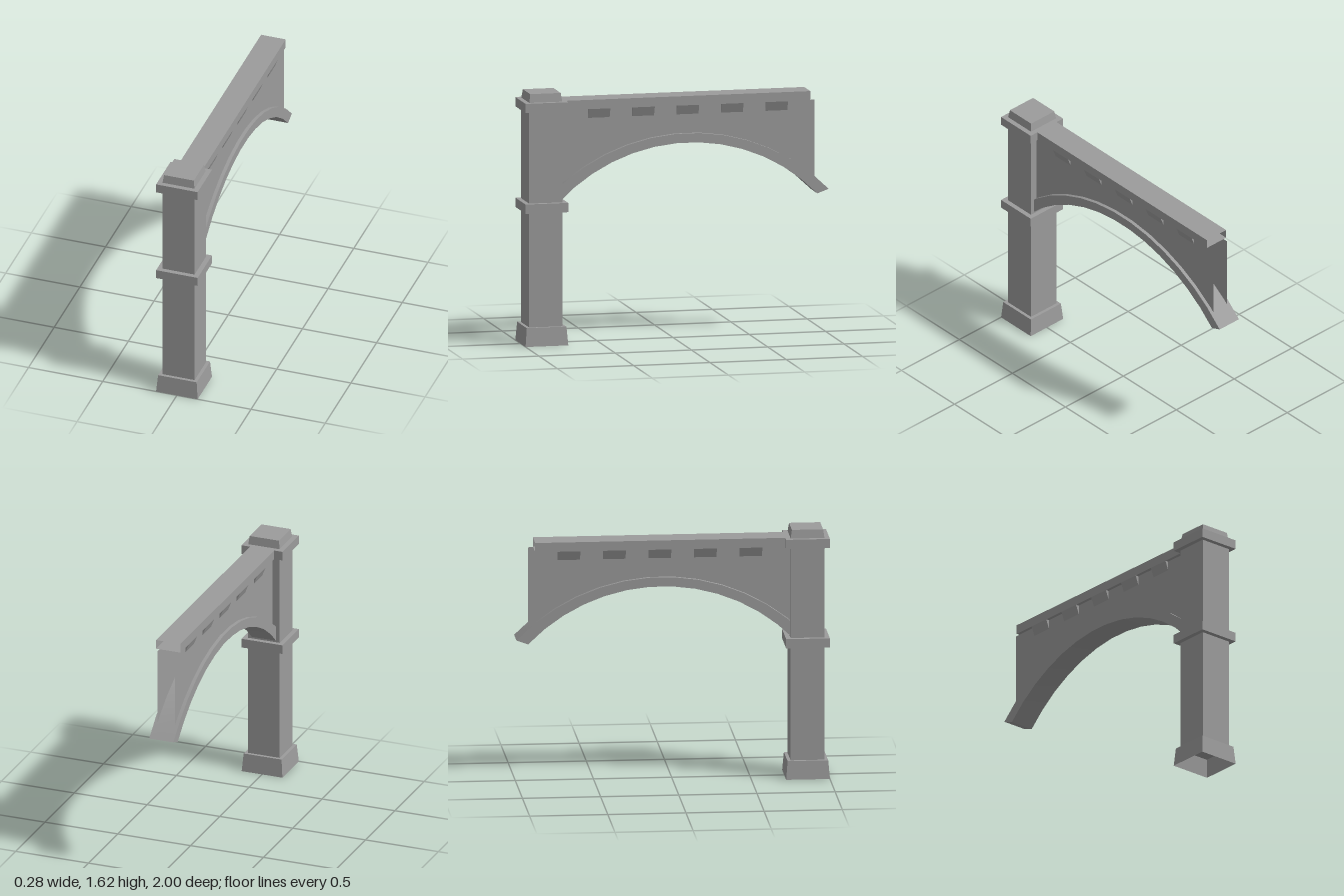
import * as THREE from 'three';
import { toCreasedNormals } from 'three/addons/utils/BufferGeometryUtils.js';

const PILLAR_Z = 0.86;
const ARCH_Z = -0.075;
const OUTER = { r: 1.28, y: 0.05, half: 0.808 };
const INNER = { r: 1.18, y: 0.09, half: 0.805 };
const ARCH_SEGMENTS = 13;
const BAND_X = 0.083; // half width of arch band and beam
const WALL_X = 0.06; // half width between the wall faces
const WALL_FRONT = 0.755, WALL_BACK = -0.914, BEAM_BACK = -0.88;
const BEAM_Y = 1.51, BEAM_TOP = 1.57;
const TOOTH_LENGTH = 0.143, TOOTH_DROP = 0.06;

export function createModel() {
  const model = new THREE.Group();
  const mat = new THREE.MeshStandardMaterial({ color: 0x9c9c9c });
  const sheetMat = mat.clone();
  sheetMat.side = THREE.DoubleSide;

  const add = (name, geo, x, y, z, parent = model, material = mat) => {
    const mesh = new THREE.Mesh(toCreasedNormals(geo, Math.PI / 6), material);
    mesh.name = name;
    mesh.position.set(x, y, z);
    parent.add(mesh);
  };
  // Square tapered block, given half widths at bottom and top
  const block = (bottom, top, y0, y1, open = false) =>
    new THREE.CylinderGeometry(top * Math.SQRT2, bottom * Math.SQRT2, y1 - y0, 4, 1, open)
      .rotateY(Math.PI / 4).translate(0, (y0 + y1) / 2, 0);
  const flat = (w, d) => new THREE.PlaneGeometry(w, d).rotateX(-Math.PI / 2);
  // Points along an arc in the (z, y) plane, from front to back
  const arc = ({ r, y, half }) => Array.from({ length: ARCH_SEGMENTS + 1 }, (_, i) => {
    const a = half * (1 - 2 * i / ARCH_SEGMENTS);
    return new THREE.Vector2(ARCH_Z + r * Math.sin(a), y + r * Math.cos(a));
  });

  // Pillar: hollow plinth, shaft, two collars and a cap
  const pillar = new THREE.Group();
  pillar.name = 'pillar';
  pillar.position.z = PILLAR_Z;
  model.add(pillar);
  add('plinth', block(0.14, 0.13, 0, 0.12, true), 0, 0, 0, pillar, sheetMat);
  add('plinthTop', flat(0.26, 0.26), 0, 0.12, 0, pillar, sheetMat);
  add('shaft', block(0.109, 0.109, 0.12, 1.53, true), 0, 0, 0, pillar, sheetMat);
  add('middleCollar', block(0.14, 0.14, 0.86, 0.92), 0, 0, 0, pillar);
  add('topCollar', block(0.14, 0.14, BEAM_Y, BEAM_TOP), 0, 0, 0, pillar);
  add('cap', block(0.108, 0.1, BEAM_TOP, 1.625), 0, 0, 0, pillar);

  // Arch band, smooth along its curve
  const outer = arc(OUTER);
  const band = new THREE.Shape([...outer, ...arc(INNER).reverse()]);
  const bandGeo = new THREE.ExtrudeGeometry(band, { depth: BAND_X * 2, bevelEnabled: false });
  add('archBand', bandGeo.translate(0, 0, -BAND_X).rotateY(-Math.PI / 2), 0, 0, 0);

  // Wall faces above the arch
  const archY = z => OUTER.y + Math.sqrt(OUTER.r ** 2 - (z - ARCH_Z) ** 2) - 0.01;
  const wall = new THREE.Shape([
    new THREE.Vector2(WALL_FRONT, BEAM_Y),
    new THREE.Vector2(WALL_FRONT, archY(WALL_FRONT)),
    ...outer.filter(p => p.x < WALL_FRONT && p.x > WALL_BACK),
    new THREE.Vector2(WALL_BACK, archY(WALL_BACK)),
    new THREE.Vector2(WALL_BACK, BEAM_Y),
  ]);
  const wallGeo = new THREE.ShapeGeometry(wall).rotateY(-Math.PI / 2);

  // Hollow beam, with wedge-shaped teeth beneath both edges
  const length = WALL_FRONT - BEAM_BACK, midZ = (WALL_FRONT + BEAM_BACK) / 2;
  const height = BEAM_TOP - BEAM_Y;
  const beam = new THREE.Group();
  beam.name = 'beam';
  model.add(beam);
  add('beamTop', flat(BAND_X * 2, length), 0, BEAM_TOP, midZ, beam, sheetMat);
  add('beamSoffit', flat(BAND_X * 2, length), 0, BEAM_Y, midZ, beam, sheetMat);
  for (const s of [-1, 1]) {
    const side = s > 0 ? 'left' : 'right';
    add(side + 'Wall', wallGeo, s * WALL_X, 0, 0, model, sheetMat);
    const face = new THREE.PlaneGeometry(length, height).rotateY(s * Math.PI / 2);
    add(side + 'BeamFace', face, s * BAND_X, BEAM_Y + height / 2, midZ, beam, sheetMat);
    const wedge = new THREE.Shape([
      new THREE.Vector2(s * WALL_X, 0),
      new THREE.Vector2(s * BAND_X, 0),
      new THREE.Vector2(s * WALL_X, -TOOTH_DROP),
    ]);
    const toothGeo = new THREE.ExtrudeGeometry(wedge, { depth: TOOTH_LENGTH, bevelEnabled: false });
    for (let i = 0; i < 5; i++) {
      add(side + 'Tooth', toothGeo, 0, BEAM_Y, 0.43 - i * 0.291, beam);
    }
  }
  return model;
}
